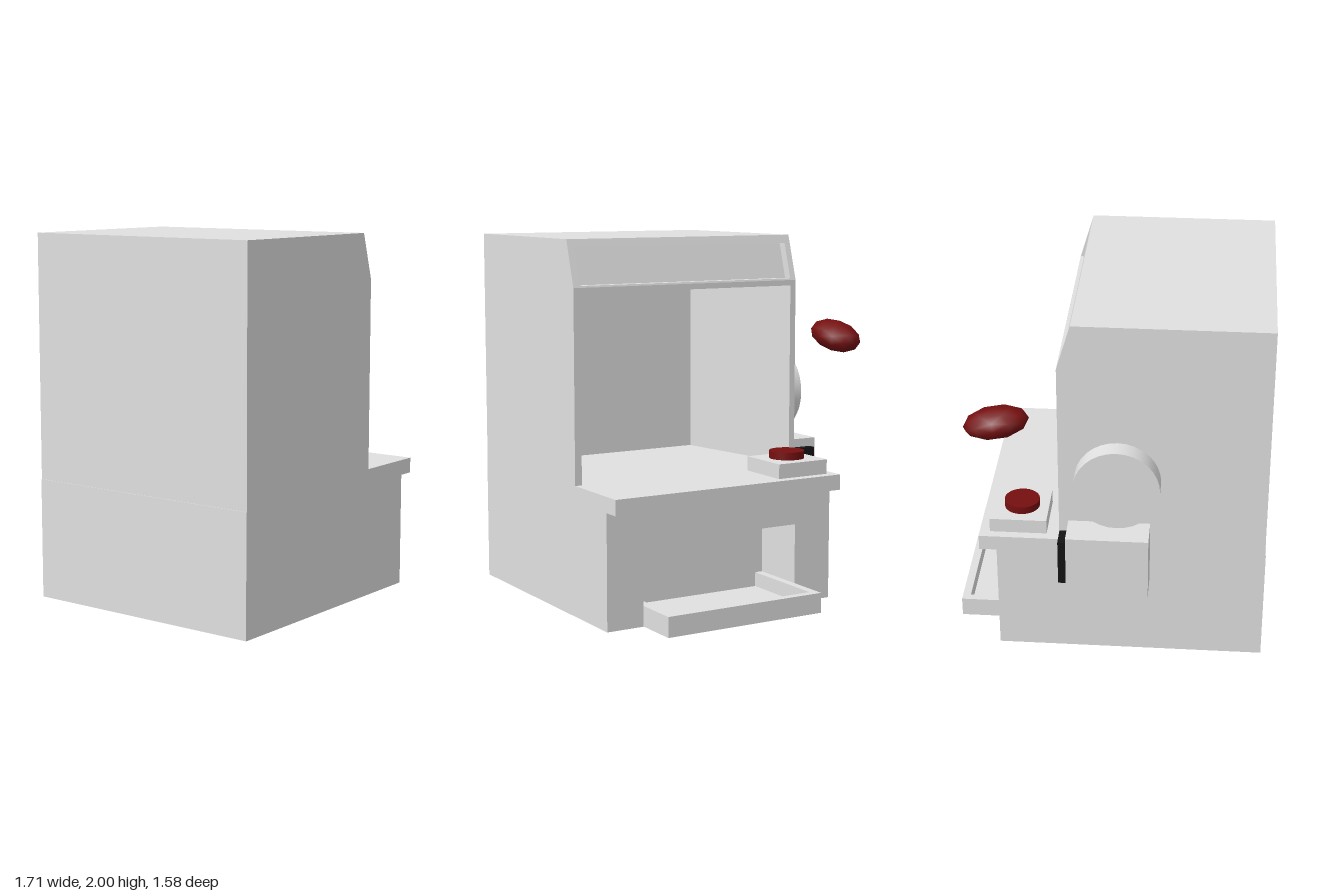
import * as THREE from 'three';

const grey = new THREE.MeshStandardMaterial({ color: 0xe0e0e0 });
grey.name = 'light grey';
const red = new THREE.MeshStandardMaterial({ color: 0x750f10 });
red.name = 'dark red';
const black = new THREE.MeshStandardMaterial({ color: 0x141414 });
black.name = 'black';

function add(group, name, geometry, material = grey) {
  const mesh = new THREE.Mesh(geometry, material);
  mesh.name = name;
  group.add(mesh);
  return mesh;
}

// Box given by its lower and upper corners
function box(group, name, [x0, y0, z0], [x1, y1, z1], material) {
  const mesh = add(group, name, new THREE.BoxGeometry(x1 - x0, y1 - y0, z1 - z0), material);
  mesh.position.set((x0 + x1) / 2, (y0 + y1) / 2, (z0 + z1) / 2);
  return mesh;
}

// Side profile in x and y, extruded between two z values
function slab(group, name, points, z0, z1) {
  const shape = new THREE.Shape(points.map(([x, y]) => new THREE.Vector2(x, y)));
  const geometry = new THREE.ExtrudeGeometry(shape, { depth: z1 - z0, bevelEnabled: false });
  geometry.translate(0, 0, z0);
  return add(group, name, geometry);
}

export function createModel() {
  const model = new THREE.Group();
  model.name = 'arcadeCabinet';
  const zBack = -0.61, zFront = 0.79;

  // Upper cabinet: two side walls and a hollow core with a recessed sign
  const cabinet = new THREE.Group();
  cabinet.name = 'upperCabinet';
  model.add(cabinet);
  const side = [[-0.855, 0.66], [0.255, 0.66], [0.255, 1.75], [0.18, 2], [-0.855, 2]];
  slab(cabinet, 'sideWall', side, zBack, -0.575);
  slab(cabinet, 'sideWall', side, 0.75, zFront);
  slab(cabinet, 'cabinetCore', [
    [-0.855, 0.66], [0.255, 0.66], [0.255, 0.71],
    [-0.82, 0.665], [-0.82, 1.67], [0.255, 1.72],           // play area
    [0.255, 1.75], [0.252, 1.76], [0.202, 1.76],            // sign recess
    [0.144, 1.955], [0.1935, 1.955], [0.18, 2], [-0.855, 2],
  ], -0.575, 0.75);

  // Base with the prize opening
  const base = new THREE.Group();
  base.name = 'base';
  model.add(base);
  box(base, 'baseSide', [-0.859, 0, zBack], [0.6, 0.66, -0.38]);
  box(base, 'baseSide', [-0.859, 0, 0.575], [0.6, 0.66, zFront]);
  slab(base, 'baseCore', [
    [-0.859, 0], [0.28, 0], [0.28, 0.44], [0.6, 0.44], [0.6, 0.66], [-0.859, 0.66],
  ], -0.38, 0.575);

  // Prize tray: floor and raised rim
  const tray = new THREE.Group();
  tray.name = 'prizeTray';
  model.add(tray);
  box(tray, 'trayFloor', [0.28, 0, -0.38], [0.85, 0.03, 0.573]);
  box(tray, 'trayFrontRim', [0.805, 0.03, -0.38], [0.85, 0.11, 0.573]);
  box(tray, 'traySideRim', [0.28, 0.03, -0.38], [0.805, 0.11, -0.335]);
  box(tray, 'traySideRim', [0.28, 0.03, 0.525], [0.805, 0.11, 0.573]);

  // Control shelf, panel and push button
  box(model, 'controlShelf', [0.255, 0.625, zBack], [0.695, 0.71, zFront]);
  box(model, 'controlPanel', [0.33, 0.71, -0.56], [0.64, 0.79, -0.245]);
  add(model, 'pushButton', new THREE.CylinderGeometry(0.096, 0.096, 0.042, 32), red)
    .position.set(0.478, 0.811, -0.405);

  // Floating faceted knob; separate faces give it flat facets
  const knob = add(model, 'knob', new THREE.IcosahedronGeometry(1, 1), red);
  knob.scale.set(0.176, 0.082, 0.112);
  knob.rotation.z = -0.2;
  knob.position.set(0.565, 1.46, -0.662);

  // Coin box with its black slot, and the round disc above
  box(model, 'coinBox', [-0.235, 0.48, -0.79], [0.205, 0.835, zBack]);
  box(model, 'coinSlot', [0.205, 0.527, -0.755], [0.25, 0.788, -0.64], black);
  const disc = add(model, 'sideDisc', new THREE.CylinderGeometry(0.23, 0.23, 0.108, 32));
  disc.rotation.x = Math.PI / 2;
  disc.position.set(-0.06, 1.1, -0.663);

  return model;
}
